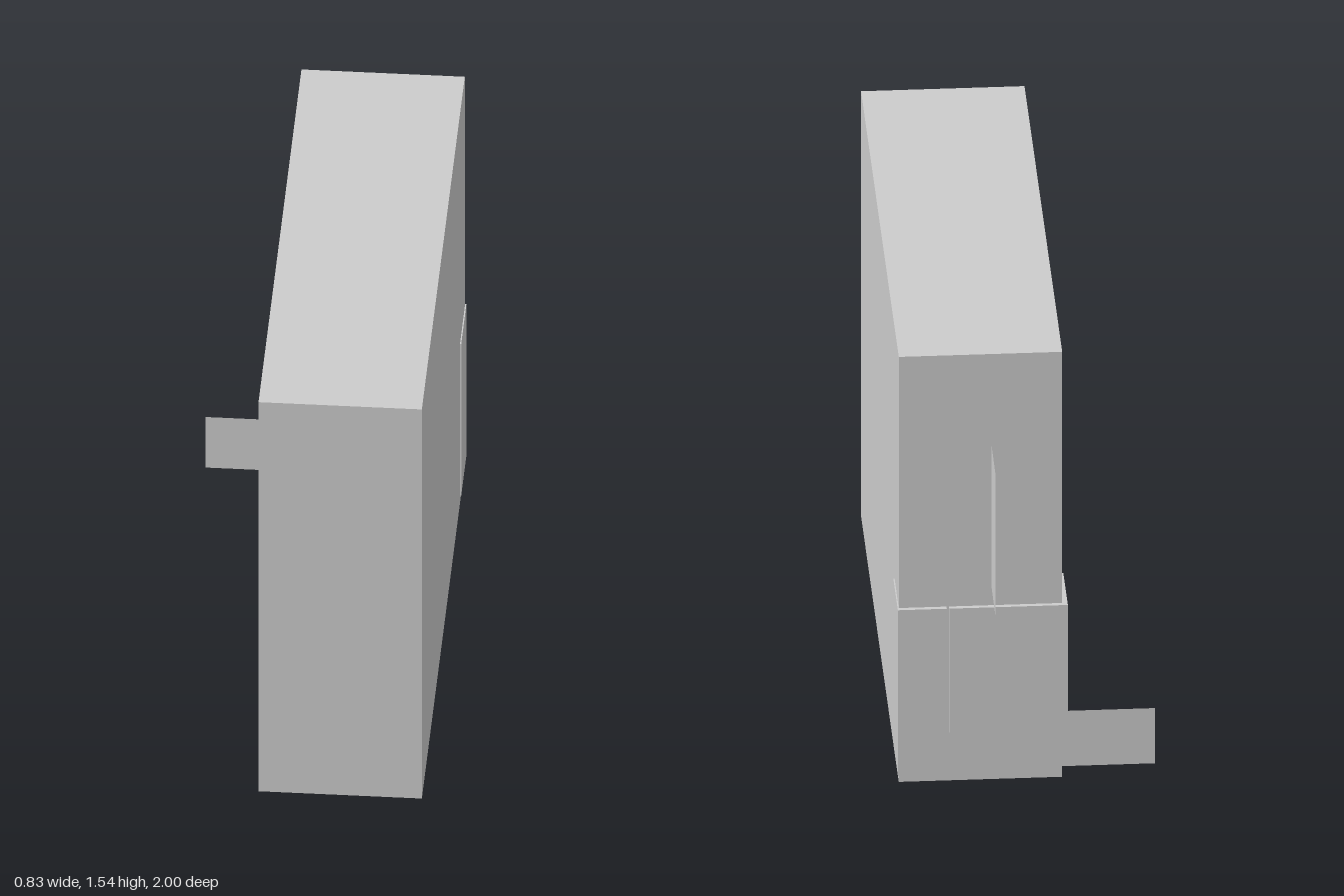
import * as THREE from 'three';

export function createModel() {
  const model = new THREE.Group();
  const solid = new THREE.MeshStandardMaterial({ color: 0xcccccc, flatShading: true });
  const sheet = new THREE.MeshStandardMaterial({ color: 0xcccccc, side: THREE.DoubleSide });

  // Box given by its lower and upper limits on each axis
  function block(name, [x0, x1], [y0, y1], [z0, z1], parent = model) {
    const mesh = new THREE.Mesh(new THREE.BoxGeometry(x1 - x0, y1 - y0, z1 - z0), solid);
    mesh.position.set((x0 + x1) / 2, (y0 + y1) / 2, (z0 + z1) / 2);
    mesh.name = name;
    parent.add(mesh);
  }

  // Paper-thin panel
  function panel(name, width, height, x, y, z) {
    const mesh = new THREE.Mesh(new THREE.PlaneGeometry(width, height), sheet);
    mesh.position.set(x, y, z);
    mesh.name = name;
    model.add(mesh);
    return mesh;
  }

  const left = 0.411, right = -0.113, back = -0.812, outer = -0.827;

  // Main building volume
  block('mainBlock', [right, left], [0, 1.54], [back, 1]);

  // Wide cladding wrapped round the right rear corner
  const wide = new THREE.Group();
  wide.name = 'wideCornerCladding';
  block('rearCladding', [-0.13, 0.25], [0.18, 0.63], [outer, back], wide);
  block('rightCladding', [-0.13, right], [0.18, 0.63], [back, -0.61], wide);

  // Narrow, taller cladding wrapped round the left rear corner
  const narrow = new THREE.Group();
  narrow.name = 'narrowCornerCladding';
  block('rearStrip', [0.258, 0.415], [0.03, 0.63], [outer, back], narrow);
  block('leftStrip', [left, 0.415], [0.03, 0.63], [back, -0.61], narrow);
  model.add(wide, narrow);

  // Hanging sign standing out from the rear wall, drooping slightly
  const sign = panel('hangingSign', 0.174, 0.515, 0.114, 0.953, -0.913);
  sign.rotation.set(0, Math.PI / 2, 0);
  const p = sign.geometry.attributes.position;
  for (let i = 0; i < p.count; i++) p.setY(i, p.getY(i) - 0.03 * p.getX(i));

  // Low wall standing out from the right side
  panel('lowWall', 0.302, 0.2, -0.264, 0.1, -0.74);

  return model;
}
